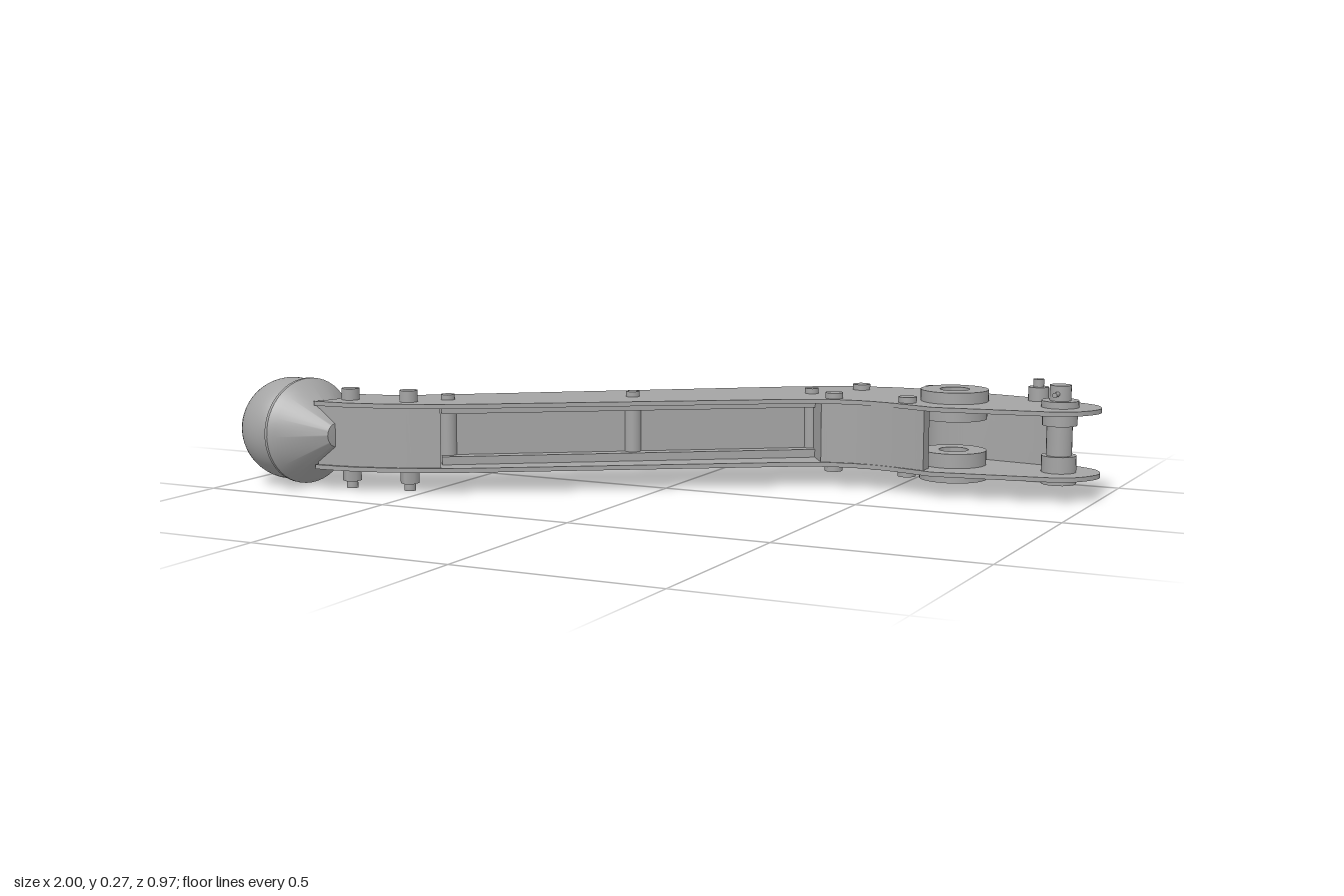
import * as THREE from 'three';
import { toCreasedNormals } from 'three/addons/utils/BufferGeometryUtils.js';

const steel = new THREE.MeshStandardMaterial({ color: 0xa4a4a4 });
steel.name = 'steel grey';

const LOW = 0.054, IN_LOW = 0.065, IN_HIGH = 0.211, HIGH = 0.222;
const HUB = [0.635, -0.312], PIN = [0.9, -0.312];

export function createModel() {
  const model = new THREE.Group();
  model.name = 'leverArm';

  const add = (name, geometry, x = 0, y = 0, z = 0) => {
    const mesh = new THREE.Mesh(geometry, steel);
    mesh.name = name;
    mesh.position.set(x, y, z);
    model.add(mesh);
    return mesh;
  };
  // Upright cylinder between two heights
  const post = (name, [x, z], r, y0, y1, sides = 24) =>
    add(name, new THREE.CylinderGeometry(r, r, y1 - y0, sides), x, (y0 + y1) / 2, z);
  // Ring with a bore
  const ring = (name, [x, z], inner, outer, y0, y1) => {
    const profile = [[inner, y0], [outer, y0], [outer, y1], [inner, y1], [inner, y0]]
      .map(([r, y]) => new THREE.Vector2(r, y));
    return add(name, toCreasedNormals(new THREE.LatheGeometry(profile, 40), 0.6), x, 0, z);
  };
  // Plan outline made of runs: a run of one point is a line, a longer run is a smooth curve
  const outline = (start, runs) => {
    const shape = new THREE.Shape();
    shape.moveTo(start[0], -start[1]);
    for (const run of runs) {
      const pts = run.map(([x, z]) => new THREE.Vector2(x, -z));
      if (pts.length === 1) shape.lineTo(pts[0].x, pts[0].y);
      else shape.splineThru(pts);
    }
    return shape;
  };
  const slab = (name, shape, y0, y1) => {
    const g = new THREE.ExtrudeGeometry(shape, { depth: y1 - y0, bevelEnabled: false, curveSegments: 8 });
    g.rotateX(-Math.PI / 2);
    return add(name, toCreasedNormals(g, 0.5), 0, y0, 0);
  };

  // Side plates
  const plate = outline([-0.765, 0.25], [
    [[-0.74, 0.29], [-0.735, 0.345], [-0.76, 0.405]],
    [[-0.66, 0.395], [-0.56, 0.365], [-0.46, 0.323], [-0.37, 0.27]],
    [[0.27, -0.147]],
    [[0.35, -0.185], [0.43, -0.2], [0.5, -0.196], [0.56, -0.183], [0.63, -0.165]],
    [[0.91, -0.214]],
    [[0.965, -0.245], [0.998, -0.312], [0.975, -0.375], [0.92, -0.407]],
    [[0.84, -0.433], [0.75, -0.455], [0.63, -0.474], [0.5, -0.485]],
    [[0.41, -0.478], [0.3, -0.447], [0.19, -0.388]],
    [[-0.5, 0.125]],
    [[-0.58, 0.182], [-0.67, 0.228], [-0.765, 0.25]],
  ]);
  const bore = new THREE.Path();
  bore.absarc(HUB[0], -HUB[1], 0.036, 0, Math.PI * 2, true);
  plate.holes.push(bore);
  slab('lowerPlate', plate, LOW, IN_LOW);
  slab('upperPlate', plate, IN_HIGH, HIGH);

  // Solid filler at the ball end
  slab('ballEndBlock', outline([-0.76, 0.257], [
    [[-0.742, 0.29], [-0.738, 0.345], [-0.755, 0.398]],
    [[-0.66, 0.388], [-0.56, 0.358], [-0.455, 0.312]],
    [[-0.56, 0.176]],
    [[-0.62, 0.21], [-0.69, 0.24], [-0.76, 0.257]],
  ]), IN_LOW, IN_HIGH);

  // Solid filler at the pivot end, hollowed round the hub and open towards the pin
  slab('pivotEndBlock', outline([0.335, -0.185], [
    [[0.39, -0.2], [0.45, -0.204], [0.53, -0.194], [0.605, -0.176]],
    [[0.605, -0.215]],
    [[0.55, -0.25], [0.535, -0.315], [0.56, -0.38], [0.635, -0.412]],
    [[0.855, -0.385]],
    [[0.855, -0.421]],
    [[0.75, -0.447], [0.63, -0.467], [0.5, -0.477]],
    [[0.41, -0.471], [0.3, -0.44], [0.2, -0.386]],
  ]), IN_LOW, IN_HIGH);

  // Recessed web and its flanges along the straight span
  const a = [-0.5, 0.238], b = [0.28, -0.287];
  const length = Math.hypot(b[0] - a[0], b[1] - a[1]);
  const angle = Math.atan2(a[1] - b[1], b[0] - a[0]);
  const beam = (name, height, width, y) => {
    const mesh = add(name, new THREE.BoxGeometry(length, height, width),
      (a[0] + b[0]) / 2, y, (a[1] + b[1]) / 2);
    mesh.rotation.y = angle;
  };
  beam('web', IN_HIGH - IN_LOW, 0.015, (IN_LOW + IN_HIGH) / 2);
  beam('lowerFlange', 0.02, 0.08, IN_LOW + 0.01);
  beam('upperFlange', 0.02, 0.08, IN_HIGH - 0.01);

  // Spacer posts with their heads
  for (const p of [[0.27, -0.28], [-0.105, -0.025], [-0.485, 0.23]]) {
    post('spacerPost', p, 0.021, IN_LOW, IN_HIGH);
    post('spacerRivet', p, 0.017, 0.042, 0.235);
  }

  // Bolts through the pivot block
  for (const p of [[0.355, -0.405], [0.535, -0.445], [0.355, -0.22], [0.545, -0.225]])
    post('pivotBolt', p, 0.022, 0.04, 0.236);

  // Bolts through the ball end block, with nut and stub below
  for (const p of [[-0.7, 0.335], [-0.55, 0.305]]) {
    post('ballEndBolt', p, 0.022, HIGH - 0.005, 0.25);
    post('ballEndNut', p, 0.023, 0.02, LOW + 0.005, 6);
    post('ballEndStub', p, 0.014, 0.002, 0.025);
  }

  // Pivot hub: outer washers and inner flanges, open in the middle
  ring('upperHubWasher', HUB, 0.036, 0.083, HIGH - 0.002, 0.25);
  ring('lowerHubWasher', HUB, 0.036, 0.083, 0.029, LOW + 0.002);
  ring('upperHubFlange', HUB, 0.036, 0.08, 0.178, IN_HIGH + 0.002);
  ring('lowerHubFlange', HUB, 0.036, 0.08, IN_LOW - 0.002, 0.1);

  // Clevis pin with collars and split pin
  post('clevisPin', PIN, 0.026, 0.035, 0.275);
  post('clevisPinShank', PIN, 0.031, IN_LOW, IN_HIGH);
  post('lowerCollar', PIN, 0.042, IN_LOW - 0.002, 0.105);
  post('upperCollar', PIN, 0.042, 0.178, IN_HIGH + 0.002);
  post('pinWasher', PIN, 0.045, HIGH - 0.002, 0.238);
  post('pinHead', PIN, 0.042, 0.036, LOW + 0.002);
  const split = add('splitPin', new THREE.CylinderGeometry(0.006, 0.006, 0.1, 12), PIN[0], 0.255, PIN[1]);
  split.rotation.x = Math.PI / 2;

  // Small grease fitting beside the pin
  const fitting = [0.82, -0.4];
  post('fittingBase', fitting, 0.025, HIGH - 0.002, 0.256);
  post('fittingTip', fitting, 0.013, 0.25, 0.275);
  post('fittingFoot', fitting, 0.022, 0.04, LOW + 0.002);

  // Ball and the tapered cup holding it
  add('ball', new THREE.SphereGeometry(0.127, 48, 32), -0.873, 0.14, 0.337);
  const cup = [[0, -0.012], [0.122, -0.012], [0.131, -0.003], [0.131, 0.006], [0.118, 0.022], [0.03, 0.115], [0, 0.117]]
    .map(([r, y]) => new THREE.Vector2(r, y));
  const cupMesh = add('ballCup', toCreasedNormals(new THREE.LatheGeometry(cup, 48), 0.5), -0.815, 0.14, 0.355);
  cupMesh.quaternion.setFromUnitVectors(
    new THREE.Vector3(0, 1, 0), new THREE.Vector3(0.96, 0, 0.28).normalize());

  return model;
}
